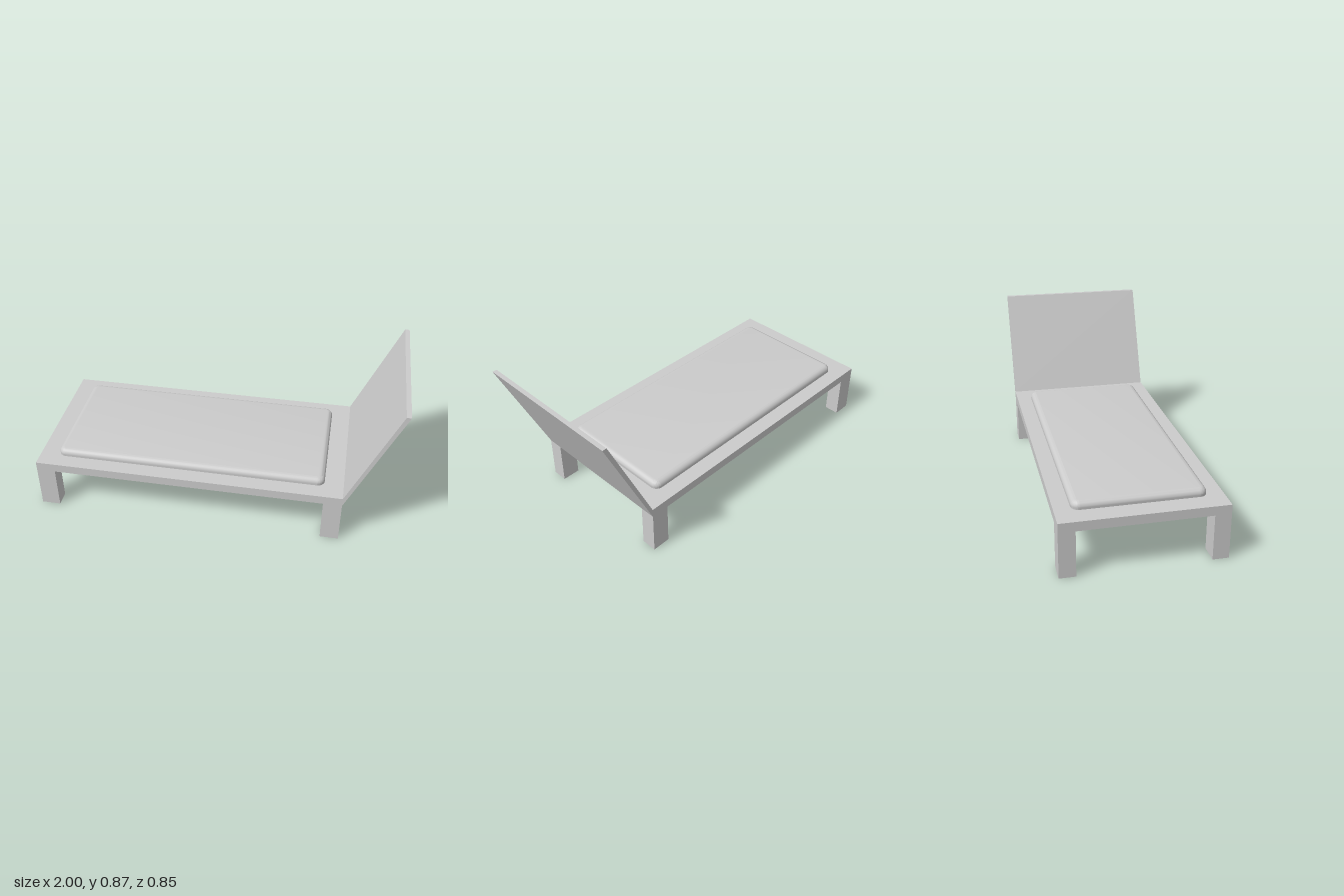
import * as THREE from 'three';
import { toCreasedNormals } from 'three/addons/utils/BufferGeometryUtils.js';

const HALF_W = 0.425;      // half width of the lounger (z)
const DECK_Y = 0.247;      // underside of the deck
const DECK_TOP = 0.297;
const HEAD_X = 0.72;       // where the backrest starts

export function createModel() {
  const group = new THREE.Group();
  const material = new THREE.MeshStandardMaterial({ color: 0xcccccc });

  const add = (name, geometry) => {
    const mesh = new THREE.Mesh(geometry, material);
    mesh.name = name;
    group.add(mesh);
    return mesh;
  };
  const box = (name, x0, x1, y0, y1, z0, z1) =>
    add(name, new THREE.BoxGeometry(x1 - x0, y1 - y0, z1 - z0))
      .position.set((x0 + x1) / 2, (y0 + y1) / 2, (z0 + z1) / 2);

  // Flat deck
  box('deck', -1, HEAD_X, DECK_Y, DECK_TOP, -HALF_W, HALF_W);

  // Four square legs flush with the deck corners
  for (const [end, x0, x1] of [['foot', -1, -0.895], ['head', 0.618, HEAD_X]]) {
    box(end + 'LegFront', x0, x1, 0, DECK_Y, 0.34, HALF_W);
    box(end + 'LegBack', x0, x1, 0, DECK_Y, -HALF_W, -0.34);
  }

  // Slanted backrest: side profile extruded across the width
  const profile = new THREE.Shape([
    new THREE.Vector2(HEAD_X, DECK_Y),
    new THREE.Vector2(1, 0.873),
    new THREE.Vector2(0.975, 0.873),
    new THREE.Vector2(HEAD_X, DECK_TOP),
  ]);
  add('backrest', new THREE.ExtrudeGeometry(profile, { depth: 2 * HALF_W, bevelEnabled: false }))
    .position.z = -HALF_W;

  // Cushion: rounded rectangle with a soft bevel, its lower bevel sunk in the deck
  const bevel = 0.03, r = 0.012;
  const hx = 0.755 - bevel, hz = 0.34 - bevel;
  const outline = new THREE.Shape();
  outline.absarc(hx - r, hz - r, r, 0, Math.PI / 2);
  outline.absarc(-hx + r, hz - r, r, Math.PI / 2, Math.PI);
  outline.absarc(-hx + r, -hz + r, r, Math.PI, Math.PI * 1.5);
  outline.absarc(hx - r, -hz + r, r, Math.PI * 1.5, Math.PI * 2);
  outline.closePath();
  const cushion = new THREE.ExtrudeGeometry(outline, {
    depth: 0.01, bevelThickness: bevel, bevelSize: bevel, bevelSegments: 6, curveSegments: 8,
  });
  cushion.rotateX(-Math.PI / 2);
  add('cushion', toCreasedNormals(cushion, 0.6)).position.set(-0.14, DECK_TOP, 0);

  return group;
}
